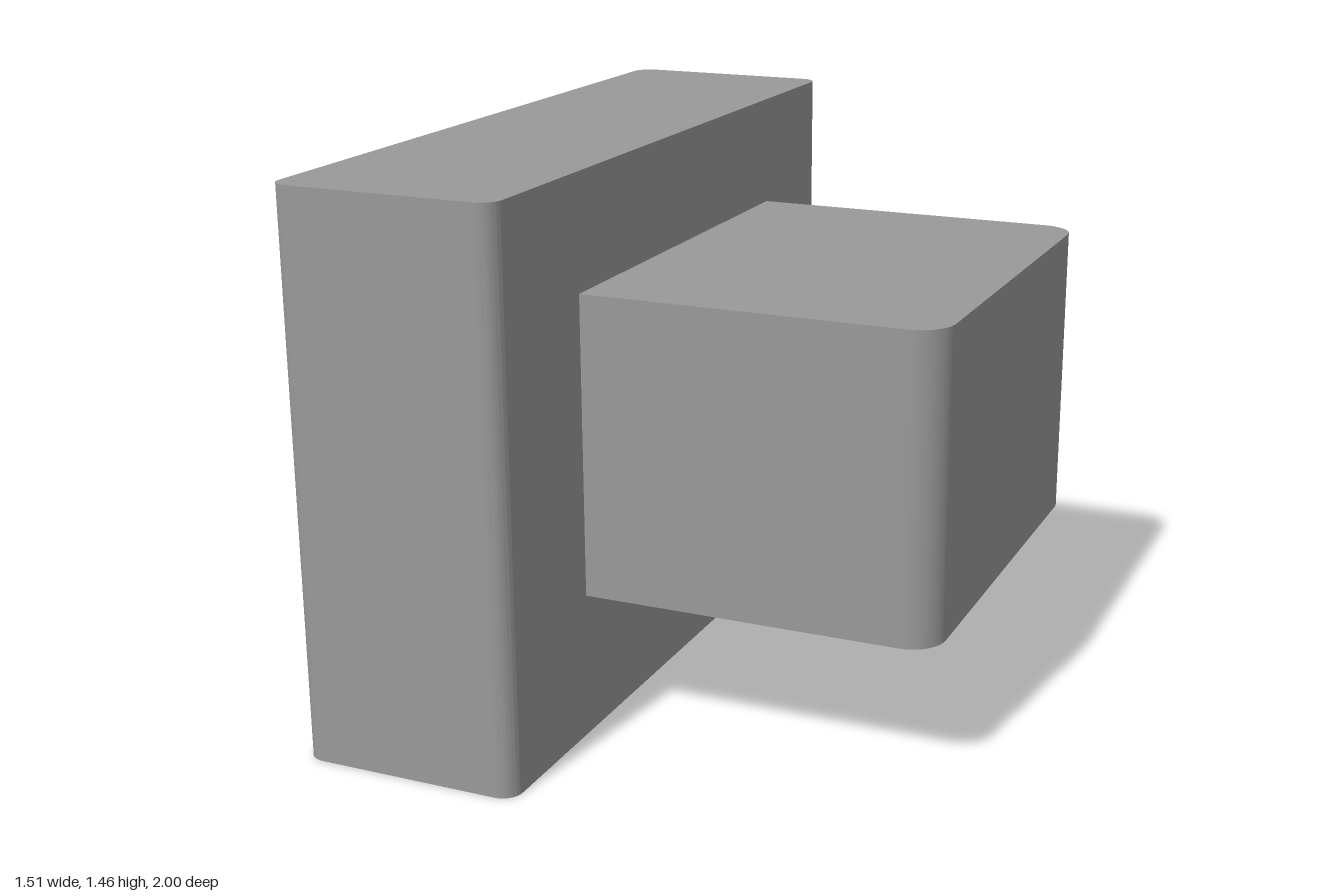
import * as THREE from 'three';
import { toCreasedNormals } from 'three/addons/utils/BufferGeometryUtils.js';

const grey = new THREE.MeshStandardMaterial({ color: 0x999999 });
grey.name = 'grey';

// Upright block with rounded vertical edges; rLeft and rRight are the corner radii at x0 and x1
function block(name, x0, x1, halfDepth, y0, y1, rLeft, rRight) {
  const d = halfDepth;
  const s = new THREE.Shape();
  s.moveTo(x0 + rLeft, -d);
  s.lineTo(x1 - rRight, -d);
  s.absarc(x1 - rRight, -d + rRight, rRight, -Math.PI / 2, 0);
  s.lineTo(x1, d - rRight);
  s.absarc(x1 - rRight, d - rRight, rRight, 0, Math.PI / 2);
  s.lineTo(x0 + rLeft, d);
  if (rLeft > 0) s.absarc(x0 + rLeft, d - rLeft, rLeft, Math.PI / 2, Math.PI);
  s.lineTo(x0, -d + rLeft);
  if (rLeft > 0) s.absarc(x0 + rLeft, -d + rLeft, rLeft, Math.PI, Math.PI * 1.5);
  s.closePath();

  const geometry = new THREE.ExtrudeGeometry(s, { depth: y1 - y0, bevelEnabled: false, curveSegments: 10 });
  geometry.rotateX(-Math.PI / 2);
  geometry.translate(0, y0, 0);
  const mesh = new THREE.Mesh(toCreasedNormals(geometry, Math.PI / 6), grey);
  mesh.name = name;
  return mesh;
}

export function createModel() {
  const model = new THREE.Group();
  model.name = 'steppedBlock';
  // Wide slab, then the smaller block standing out from its left face
  model.add(block('slab', -0.757, -0.165, 1, 0, 1.463, 0.05, 0.05));
  model.add(block('projectingBlock', -0.17, 0.755, 0.595, 0.38, 1.165, 0, 0.09));
  return model;
}
